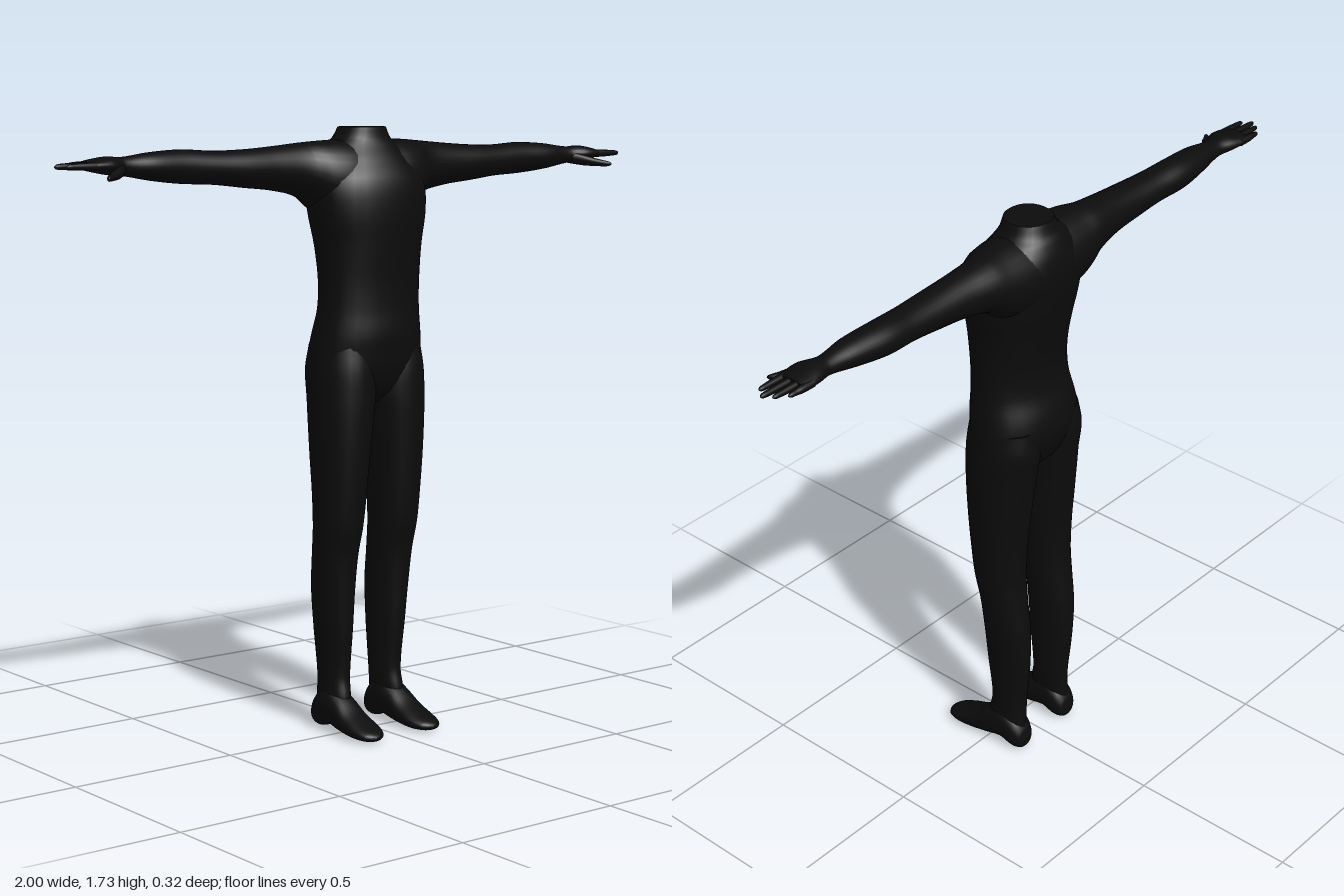
import * as THREE from 'three';

const STEPS = 5, SIDES = 28;

// Smooth loft along an axis. Each row: [position, aMin, aMax, bMin, bMax]
// where (a, b) is (x, z) for axis y, (y, z) for axis x and (x, y) for axis z.
function loft(axis, rows, power = 1) {
  const slope = (i, k) => {
    const p = rows[Math.max(i - 1, 0)], n = rows[Math.min(i + 1, rows.length - 1)];
    return (n[k] - p[k]) / (n[0] - p[0]);
  };
  const sections = [];
  for (let i = 0; i < rows.length - 1; i++) {
    const d = rows[i + 1][0] - rows[i][0];
    for (let s = i ? 1 : 0; s <= STEPS; s++) {
      const t = s / STEPS, t2 = t * t, t3 = t2 * t;
      sections.push(rows[i].map((v, k) => k === 0 ? v + d * t :
        (2 * t3 - 3 * t2 + 1) * v + (3 * t2 - 2 * t3) * rows[i + 1][k] +
        d * ((t3 - 2 * t2 + t) * slope(i, k) + (t3 - t2) * slope(i + 1, k))));
    }
  }
  const pos = [], idx = [];
  const put = (t, a, b) => {
    if (axis === 'y') pos.push(a, t, b);
    else if (axis === 'x') pos.push(t, a, b);
    else pos.push(a, b, t);
  };
  const tri = (a, b, c) => axis === 'y' ? idx.push(a, c, b) : idx.push(a, b, c);
  const round = v => Math.sign(v) * Math.pow(Math.abs(v), power);
  const ring = ([t, a0, a1, b0, b1]) => {
    for (let j = 0; j < SIDES; j++) {
      const w = j / SIDES * Math.PI * 2;
      put(t, (a0 + a1) / 2 + (a1 - a0) / 2 * round(Math.cos(w)),
        (b0 + b1) / 2 + (b1 - b0) / 2 * round(Math.sin(w)));
    }
  };
  sections.forEach(ring);
  for (let i = 0; i < sections.length - 1; i++) {
    for (let j = 0; j < SIDES; j++) {
      const p = i * SIDES + j, q = i * SIDES + (j + 1) % SIDES;
      tri(p, q, p + SIDES);
      tri(q, q + SIDES, p + SIDES);
    }
  }
  // flat end caps with their own vertices
  [sections[0], sections[sections.length - 1]].forEach((s, end) => {
    const base = pos.length / 3;
    ring(s);
    put(s[0], (s[1] + s[2]) / 2, (s[3] + s[4]) / 2);
    for (let j = 0; j < SIDES; j++) {
      const p = base + j, q = base + (j + 1) % SIDES;
      end ? tri(base + SIDES, p, q) : tri(base + SIDES, q, p);
    }
  });
  const g = new THREE.BufferGeometry();
  g.setAttribute('position', new THREE.Float32BufferAttribute(pos, 3));
  g.setIndex(idx);
  g.computeVertexNormals();
  return g;
}

// Mirror across x = 0, keeping faces outward
function mirrored(source) {
  const g = source.clone(), p = g.attributes.position, ix = g.index;
  for (let i = 0; i < p.count; i++) p.setX(i, -p.getX(i));
  for (let i = 0; i < ix.count; i += 3) {
    const b = ix.getX(i + 1);
    ix.setX(i + 1, ix.getX(i + 2));
    ix.setX(i + 2, b);
  }
  g.computeVertexNormals();
  return g;
}

export function createModel() {
  const model = new THREE.Group();
  model.name = 'headlessBody';
  const black = new THREE.MeshStandardMaterial({ color: 0x0c0c0c });
  black.name = 'matte black';

  const add = (name, geometry) => {
    const mesh = new THREE.Mesh(geometry, black);
    mesh.name = name;
    model.add(mesh);
  };
  const addPair = (name, geometry) => {
    add(name + 'Left', geometry);
    add(name + 'Right', mirrored(geometry));
  };

  // Torso and neck stump: [y, half width, back z, front z]
  add('torso', loft('y', [
    [0.955, 0.06, -0.08, 0.02],
    [0.99, 0.13, -0.115, 0.055],
    [1.05, 0.172, -0.143, 0.08],
    [1.1, 0.174, -0.151, 0.089],
    [1.15, 0.168, -0.144, 0.094],
    [1.22, 0.159, -0.121, 0.09],
    [1.3, 0.158, -0.116, 0.091],
    [1.4, 0.165, -0.132, 0.1],
    [1.5, 0.182, -0.15, 0.106],
    [1.58, 0.18, -0.159, 0.096],
    [1.64, 0.142, -0.152, 0.063],
    [1.68, 0.107, -0.136, 0.035],
    [1.7, 0.083, -0.122, 0.026],
    [1.73, 0.066, -0.11, 0.02],
  ].map(([y, w, b, f]) => [y, -w, w, b, f]), 0.9));

  // Arm running from inside the chest to the knuckles
  addPair('arm', loft('x', [
    [0.02, 1.47, 1.695, -0.155, 0.06],
    [0.1, 1.475, 1.695, -0.152, 0.06],
    [0.16, 1.495, 1.692, -0.146, 0.045],
    [0.21, 1.535, 1.688, -0.137, 0.016],
    [0.3, 1.557, 1.68, -0.122, 0.004],
    [0.4, 1.568, 1.673, -0.116, 0],
    [0.5, 1.579, 1.671, -0.115, -0.008],
    [0.6, 1.584, 1.676, -0.12, -0.015],
    [0.7, 1.595, 1.671, -0.107, -0.017],
    [0.79, 1.61, 1.66, -0.092, -0.03],
    [0.84, 1.614, 1.662, -0.105, -0.012],
    [0.88, 1.622, 1.656, -0.112, -0.012],
    [0.905, 1.628, 1.65, -0.108, -0.02],
  ]));

  // Fingers: [name, z, tip x]
  [['indexFinger', -0.026, 0.98], ['middleFinger', -0.052, 1],
    ['ringFinger', -0.077, 0.983], ['littleFinger', -0.101, 0.953]].forEach(([name, z, tip]) => {
    const row = (x, r) => [x, 1.638 - r, 1.638 + r, z - r, z + r];
    addPair(name, loft('x', [
      row(0.87, 0.011), row(0.91, 0.0105), row(tip - 0.025, 0.008),
      row(tip - 0.007, 0.006), row(tip, 0.001),
    ]));
  });

  // Thumb angled forward and down
  addPair('thumb', loft('x', [
    [0.795, 1.61, 1.645, -0.065, -0.03],
    [0.83, 1.603, 1.634, -0.04, 0.006],
    [0.86, 1.601, 1.623, -0.008, 0.024],
    [0.88, 1.6, 1.617, 0.013, 0.036],
    [0.888, 1.602, 1.614, 0.025, 0.04],
    [0.892, 1.606, 1.609, 0.034, 0.039],
  ]));

  // Leg: [y, inner x, outer x, back z, front z]
  addPair('leg', loft('y', [
    [0.05, 0.065, 0.135, -0.122, 0.01],
    [0.1, 0.06, 0.133, -0.118, 0.01],
    [0.16, 0.056, 0.131, -0.117, 0],
    [0.3, 0.05, 0.141, -0.129, 0.013],
    [0.42, 0.044, 0.152, -0.13, 0.021],
    [0.52, 0.038, 0.16, -0.116, 0.031],
    [0.6, 0.033, 0.165, -0.108, 0.05],
    [0.7, 0.026, 0.17, -0.11, 0.062],
    [0.8, 0.018, 0.175, -0.118, 0.071],
    [0.9, 0.008, 0.178, -0.127, 0.078],
    [0.97, -0.001, 0.179, -0.134, 0.081],
    [1.05, -0.002, 0.177, -0.145, 0.08],
    [1.12, 0.01, 0.165, -0.135, 0.07],
  ], 0.95));

  // Foot from heel to toe: [z, inner x, outer x, sole y, top y]
  addPair('foot', loft('z', [
    [-0.13, 0.085, 0.11, 0.022, 0.045],
    [-0.122, 0.067, 0.128, 0.008, 0.075],
    [-0.095, 0.055, 0.14, 0.002, 0.11],
    [-0.05, 0.053, 0.143, 0.014, 0.13],
    [0, 0.052, 0.146, 0.006, 0.106],
    [0.05, 0.05, 0.15, 0.002, 0.07],
    [0.1, 0.051, 0.15, 0.001, 0.047],
    [0.14, 0.066, 0.139, 0.003, 0.032],
    [0.155, 0.085, 0.122, 0.007, 0.024],
    [0.16, 0.1, 0.108, 0.012, 0.018],
  ], 0.9));

  return model;
}
